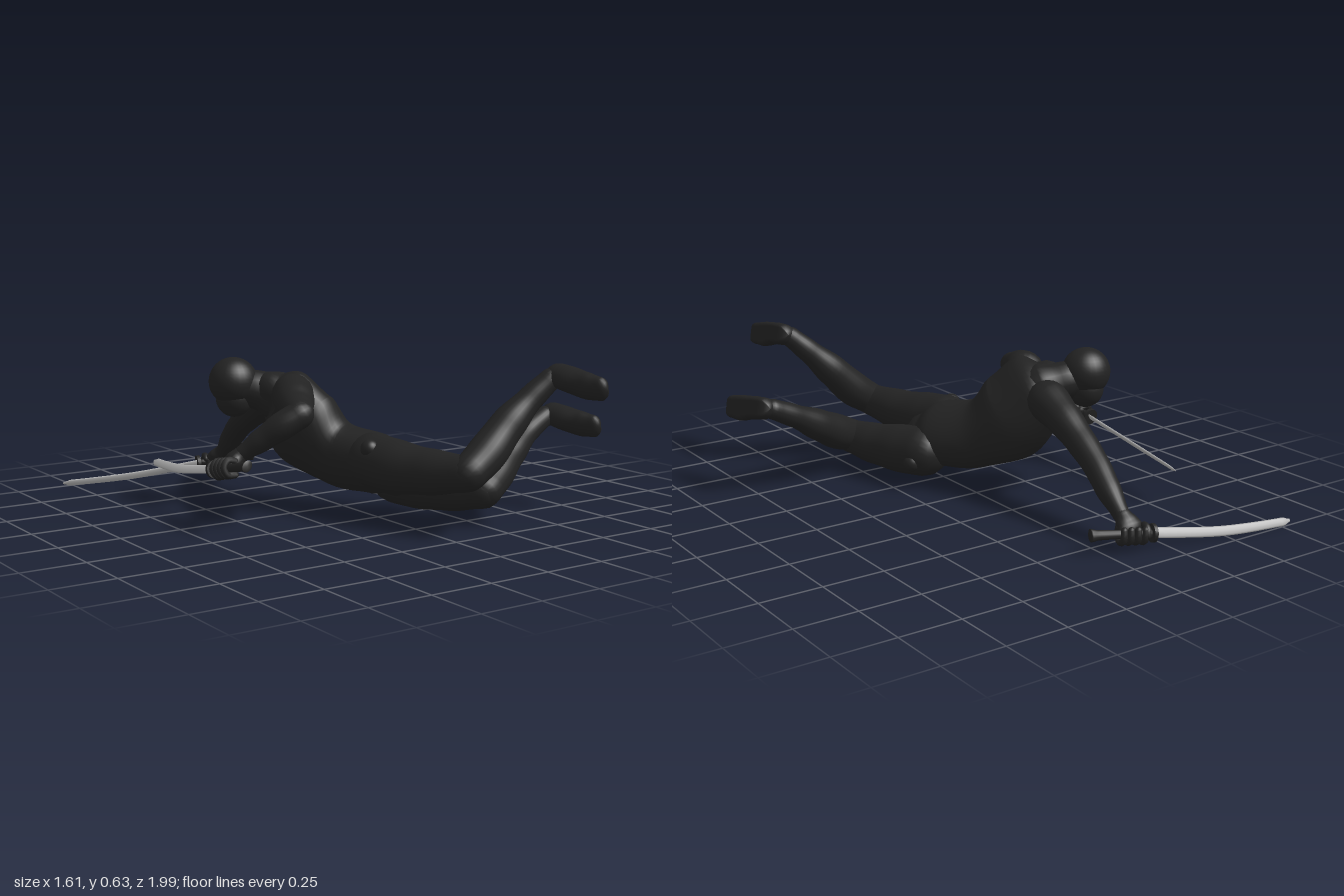
import * as THREE from 'three';

const V = (p) => new THREE.Vector3(p[0], p[1], p[2]);
const cloth = new THREE.MeshStandardMaterial({ color: 0x222222 });
cloth.name = 'charcoal';
const steel = new THREE.MeshStandardMaterial({ color: 0xb0b0b0 });
steel.name = 'steel';

// Smooth skin through stations [x, y, z, halfWidth, halfDepth?].
// hints: one width axis, or one per station. flat: cuts the underside (0..1). round: dome the ends.
function loft(stations, hints, { sides = 20, steps = 6, flat = 1, round = true } = {}) {
  const n = stations.length, total = (n - 1) * steps;
  const curve = new THREE.CatmullRomCurve3(stations.map(V));
  const axes = Array.isArray(hints[0]) ? hints : stations.map(() => hints);
  const mix = (f, t) => {
    const i = Math.min(Math.floor(t * (n - 1)), n - 2), k = t * (n - 1) - i;
    const s = k * k * (3 - 2 * k);
    return f(i) * (1 - s) + f(i + 1) * s;
  };
  const rings = [];
  const ring = (t, slide, scale) => {
    const T = curve.getTangent(t);
    const U = new THREE.Vector3(mix(i => axes[i][0], t), mix(i => axes[i][1], t), mix(i => axes[i][2], t));
    U.addScaledVector(T, -U.dot(T)).normalize();
    const W = T.clone().cross(U);
    const a = mix(i => stations[i][3], t), b = mix(i => stations[i][4] ?? stations[i][3], t);
    const c = curve.getPoint(t).addScaledVector(T, slide * Math.min(a, b));
    const pts = [];
    for (let j = 0; j < sides; j++) {
      const q = j / sides * Math.PI * 2;
      pts.push(c.clone().addScaledVector(U, Math.cos(q) * a * scale)
        .addScaledVector(W, Math.max(Math.sin(q), -flat) * b * scale));
    }
    rings.push(pts);
  };
  const caps = round ? [0, 0.25, 0.5, 0.75] : [0];
  caps.forEach(k => ring(0, round ? -Math.cos(k * Math.PI / 2) : 0, Math.max(Math.sin(k * Math.PI / 2), 0.001)));
  for (let i = 0; i <= total; i++) ring(i / total, 0, 1);
  [...caps].reverse().forEach(k => ring(1, round ? Math.cos(k * Math.PI / 2) : 0, Math.max(Math.sin(k * Math.PI / 2), 0.001)));

  const pos = [], idx = [];
  rings.forEach(r => r.forEach(p => pos.push(p.x, p.y, p.z)));
  for (let i = 0; i < rings.length - 1; i++) for (let j = 0; j < sides; j++) {
    const a = i * sides + j, b = i * sides + (j + 1) % sides;
    idx.push(a, b, b + sides, a, b + sides, a + sides);
  }
  const g = new THREE.BufferGeometry();
  g.setAttribute('position', new THREE.Float32BufferAttribute(pos, 3));
  g.setIndex(idx);
  g.computeVertexNormals();
  return g;
}

function add(parent, name, geometry, material = cloth) {
  const m = new THREE.Mesh(geometry, material);
  m.name = name;
  parent.add(m);
  return m;
}

function ball(parent, name, c, r) {
  const m = add(parent, name, new THREE.SphereGeometry(1, 28, 20));
  m.position.set(...c);
  m.scale.set(...r);
}

// Sword with curved blade, guard and grip, plus the fist closed around the grip
function swordAndFist(parent, side, { guard, mid, tip, pommel, edge, wrist, grip }) {
  const sword = new THREE.Group();
  sword.name = side + 'Sword';
  parent.add(sword);
  const near = V(guard).lerp(V(tip), 0.94).toArray();
  const bend = V(mid).sub(V(guard).lerp(V(tip), 0.5)).multiplyScalar(0.22);
  near.forEach((_, i) => { near[i] += bend.getComponent(i); });
  add(sword, 'blade', loft([[...guard, 0.021, 0.006], [...mid, 0.02, 0.006],
    [...near, 0.017, 0.005], [...tip, 0.006, 0.002]], edge, { sides: 8, round: false }), steel);

  const G = V(guard), P = V(pommel), axis = P.clone().sub(G).normalize();
  const plate = add(sword, 'guard', new THREE.CylinderGeometry(0.036, 0.036, 0.014, 20));
  plate.position.copy(G);
  plate.quaternion.setFromUnitVectors(new THREE.Vector3(0, 1, 0), axis);
  const at = (t) => G.clone().lerp(P, t).toArray();
  add(sword, 'handle', loft([[...at(0), 0.018, 0.013], [...at(0.5), 0.017, 0.013],
    [...at(0.85), 0.019, 0.015], [...at(1), 0.025, 0.018]], edge, { sides: 12, round: false }));

  const hand = new THREE.Group();
  hand.name = side + 'Hand';
  parent.add(hand);
  const center = G.clone().lerp(P, grip);
  const out = V(wrist).sub(center);
  out.addScaledVector(axis, -out.dot(axis)).normalize();
  const across = axis.clone().cross(out);
  const arc = (shift, from, to, r, tube) => {
    const pts = [];
    for (let i = 0; i <= 4; i++) {
      const q = from + (to - from) * i / 4;
      const p = center.clone().addScaledVector(axis, shift)
        .addScaledVector(out, Math.cos(q) * r).addScaledVector(across, Math.sin(q) * r);
      pts.push([p.x, p.y, p.z, tube]);
    }
    return loft(pts, axis.toArray(), { sides: 8, steps: 3 });
  };
  for (let k = 0; k < 4; k++) add(hand, 'finger', arc((k - 1.5) * 0.029, 0.2, 4.6, 0.032, 0.0135));
  add(hand, 'thumb', arc(-0.052, 0, -2.4, 0.031, 0.014));
  const knuckle = center.clone().addScaledVector(out, 0.026);
  add(hand, 'palm', loft([[...wrist, 0.034, 0.031],
    [...V(wrist).lerp(knuckle, 0.6).toArray(), 0.049, 0.033],
    [...knuckle.toArray(), 0.055, 0.029]], axis.toArray()));
}

export function createModel() {
  const model = new THREE.Group();
  model.name = 'leapingSwordFighter';

  // Torso: twisted from the hips up to the shoulders
  add(model, 'torso', loft([
    [0.05, 0.19, 0.30, 0.12, 0.09],
    [0.02, 0.215, 0.22, 0.155, 0.118],
    [-0.06, 0.24, 0.065, 0.152, 0.123],
    [-0.137, 0.335, -0.06, 0.193, 0.14],
    [-0.19, 0.44, -0.135, 0.19, 0.112],
    [-0.24, 0.475, -0.172, 0.11, 0.078],
  ], [[0.65, -0.5, -0.55], [0.65, -0.5, -0.55], [0.4, -0.6, -0.65],
    [0.1, -0.6, -0.75], [0.12, -0.48, -0.86], [0.12, -0.48, -0.86]], { sides: 32, steps: 8 }));

  // Head, jaw and neck
  add(model, 'neck', loft([[-0.21, 0.46, -0.16, 0.1], [-0.28, 0.485, -0.2, 0.08], [-0.35, 0.5, -0.235, 0.07]], [0, 1, 0]));
  ball(model, 'head', [-0.37, 0.523, -0.242], [0.1, 0.098, 0.097]);
  ball(model, 'jaw', [-0.365, 0.455, -0.245], [0.074, 0.078, 0.077]);

  // Arms
  add(model, 'forwardArm', loft([
    [-0.165, 0.435, -0.26, 0.085], [-0.155, 0.395, -0.37, 0.072], [-0.15, 0.33, -0.49, 0.06],
    [-0.14, 0.265, -0.60, 0.053], [-0.125, 0.20, -0.69, 0.049], [-0.115, 0.125, -0.785, 0.033],
  ], [1, 0, 0]));
  add(model, 'bentUpperArm', loft([
    [-0.245, 0.49, 0.01, 0.083], [-0.285, 0.475, 0.085, 0.08], [-0.325, 0.457, 0.165, 0.066], [-0.36, 0.45, 0.24, 0.056],
  ], [0, 1, 0]));
  add(model, 'bentForearm', loft([
    [-0.36, 0.45, 0.245, 0.054], [-0.42, 0.41, 0.218, 0.055], [-0.48, 0.355, 0.168, 0.046], [-0.54, 0.30, 0.12, 0.032],
  ], [0, 1, 0]));

  // Swords and fists
  swordAndFist(model, 'forward', {
    guard: [-0.195, 0.064, -0.873], mid: [-0.49, 0.029, -0.942], tip: [-0.798, 0.022, -0.992],
    pommel: [0.05, 0.085, -0.805], edge: [0, 0.85, 0.5], wrist: [-0.115, 0.125, -0.79], grip: 0.34,
  });
  swordAndFist(model, 'bent', {
    guard: [-0.605, 0.228, 0.015], mid: [-0.602, 0.183, -0.27], tip: [-0.558, 0.16, -0.59],
    pommel: [-0.605, 0.28, 0.265], edge: [0.65, 0.75, 0], wrist: [-0.545, 0.295, 0.115], grip: 0.34,
  });

  // Right and left legs, each with thigh, shin and flat-soled foot
  const legs = {
    right: {
      thigh: [[-0.035, 0.245, 0.27, 0.108], [-0.018, 0.235, 0.38, 0.107], [0.025, 0.235, 0.54, 0.09], [0.07, 0.25, 0.715, 0.07]],
      shin: [[0.075, 0.255, 0.725, 0.07], [0.17, 0.32, 0.715, 0.076], [0.27, 0.415, 0.71, 0.068], [0.37, 0.51, 0.725, 0.05], [0.445, 0.58, 0.75, 0.043]],
      foot: [[0.475, 0.594, 0.757, 0.045, 0.055], [0.475, 0.585, 0.83, 0.047, 0.058], [0.487, 0.57, 0.9, 0.053, 0.044], [0.5, 0.563, 0.965, 0.047, 0.032]],
    },
    left: {
      thigh: [[0.115, 0.15, 0.22, 0.105], [0.15, 0.14, 0.32, 0.103], [0.2, 0.135, 0.46, 0.088], [0.25, 0.145, 0.595, 0.072]],
      shin: [[0.255, 0.15, 0.6, 0.07], [0.35, 0.195, 0.55, 0.075], [0.46, 0.255, 0.5, 0.066], [0.59, 0.325, 0.46, 0.048], [0.695, 0.375, 0.445, 0.042]],
      foot: [[0.732, 0.383, 0.45, 0.045, 0.053], [0.743, 0.371, 0.52, 0.048, 0.055], [0.763, 0.358, 0.585, 0.053, 0.042], [0.78, 0.353, 0.645, 0.047, 0.031]],
    },
  };
  for (const [side, leg] of Object.entries(legs)) {
    const group = new THREE.Group();
    group.name = side + 'Leg';
    model.add(group);
    add(group, 'thigh', loft(leg.thigh, [0, 1, 0], { sides: 24 }));
    add(group, 'shin', loft(leg.shin, [0, 0, 1], { sides: 24 }));
    add(group, 'foot', loft(leg.foot, [-0.27, 0.96, 0], { flat: 0.6 }));
  }

  // Hip joints
  ball(model, 'rightHip', [-0.095, 0.303, 0.328], [0.037, 0.037, 0.037]);
  ball(model, 'leftHip', [0.19, 0.12, 0.195], [0.037, 0.037, 0.037]);
  return model;
}
